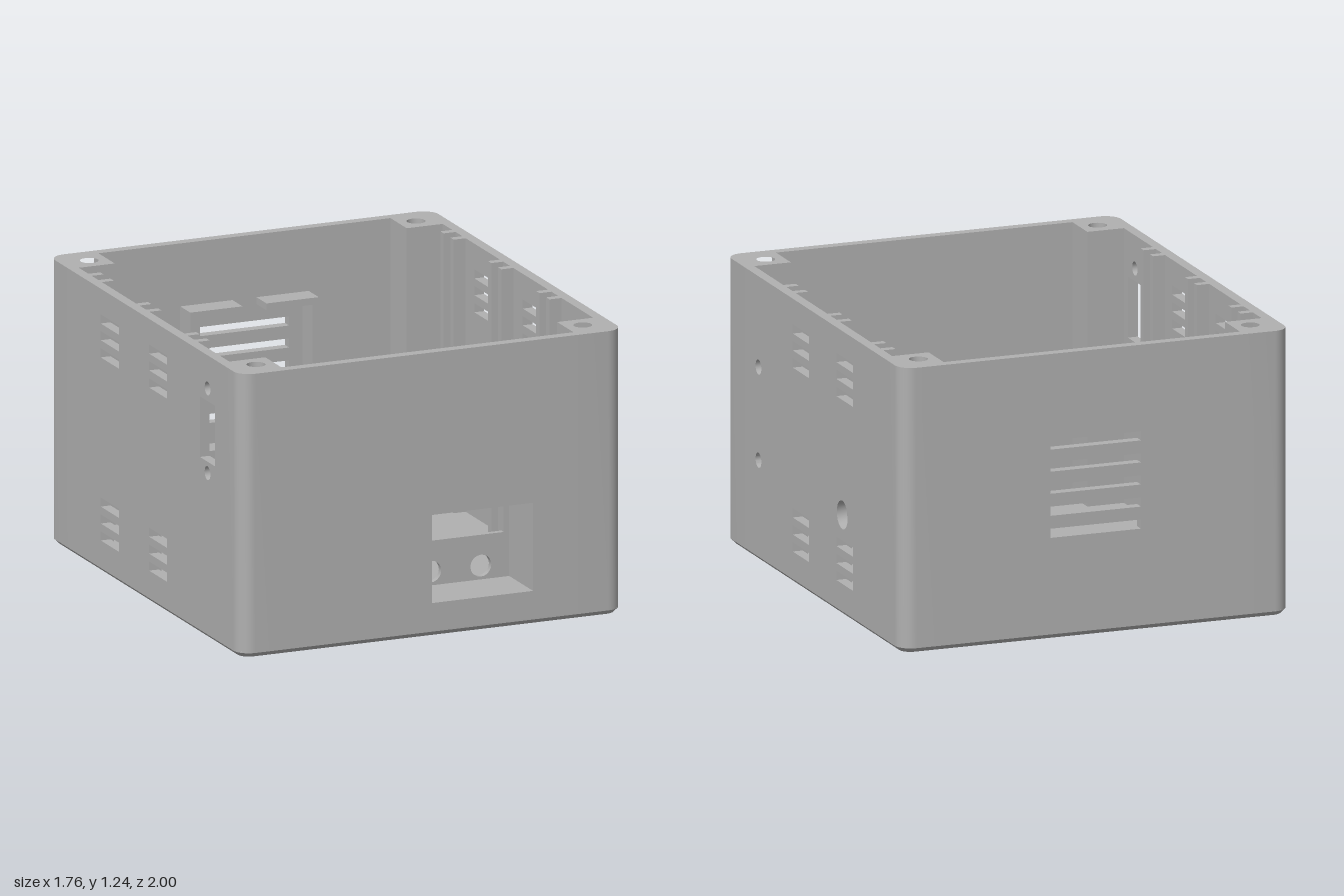
import * as THREE from 'three';
import { toCreasedNormals } from 'three/addons/utils/BufferGeometryUtils.js';

const W = 0.88, L = 1, H = 1.24;       // half width, half length, height
const T = 0.045, R = 0.07, CH = 0.02;  // wall thickness, corner radius, bottom chamfer
const PX = 0.67, PZ = 0.785;           // inner edges of the corner posts

const tracePath = (p, x0, y0, x1, y1) =>
  p.moveTo(x0, y0).lineTo(x1, y0).lineTo(x1, y1).lineTo(x0, y1).closePath();
const rect = (x0, y0, x1, y1) => tracePath(new THREE.Path(), x0, y0, x1, y1);
const circle = (x, y, r) => new THREE.Path().absarc(x, y, r, 0, Math.PI * 2, true);

function extrude(shape, depth, options = {}) {
  const g = new THREE.ExtrudeGeometry(shape, { depth, bevelEnabled: false, curveSegments: 10, ...options });
  return toCreasedNormals(g, 0.5);
}

// Flat panel with cut-outs, extruded along z
function panel(x0, y0, x1, y1, holes, depth) {
  const s = tracePath(new THREE.Shape(), x0, y0, x1, y1);
  s.holes.push(...holes);
  return extrude(s, depth);
}

export function createModel() {
  const group = new THREE.Group();
  const grey = new THREE.MeshStandardMaterial({ color: 0xb0b0b0 });
  grey.name = 'grey plastic';

  const add = (name, geometry, x = 0, y = 0, z = 0) => {
    const m = new THREE.Mesh(geometry, grey);
    m.name = name;
    m.position.set(x, y, z);
    group.add(m);
    return m;
  };
  const block = (name, x0, x1, y0, y1, z0, z1) =>
    add(name, new THREE.BoxGeometry(x1 - x0, y1 - y0, z1 - z0),
      (x0 + x1) / 2, (y0 + y1) / 2, (z0 + z1) / 2);

  // Floor with rounded corners and a chamfered lower edge
  const base = new THREE.Shape();
  base.moveTo(-W + R, -L).lineTo(W - R, -L);
  base.absarc(W - R, -L + R, R, -Math.PI / 2, 0);
  base.lineTo(W, L - R).absarc(W - R, L - R, R, 0, Math.PI / 2);
  base.lineTo(-W + R, L).absarc(-W + R, L - R, R, Math.PI / 2, Math.PI);
  base.lineTo(-W, -L + R).absarc(-W + R, -L + R, R, Math.PI, Math.PI * 1.5);
  const floor = extrude(base, T - 2 * CH, {
    bevelEnabled: true, bevelThickness: CH, bevelSize: CH, bevelOffset: -CH, bevelSegments: 1,
  });
  add('floor', floor.rotateX(-Math.PI / 2).translate(0, CH, 0));

  // Corner posts with screw holes
  for (const sx of [-1, 1]) for (const sz of [-1, 1]) {
    const s = new THREE.Shape();
    s.moveTo(sx * PX, sz * PZ).lineTo(sx * W, sz * PZ);
    for (let i = 0; i <= 10; i++) {
      const a = (i / 10) * Math.PI / 2;
      s.lineTo(sx * (W - R + R * Math.cos(a)), sz * (L - R + R * Math.sin(a)));
    }
    s.lineTo(sx * PX, sz * L).closePath();
    s.holes.push(circle(sx * 0.75, sz * 0.87, 0.04));
    add('cornerPost', extrude(s, H - CH).rotateX(-Math.PI / 2), 0, CH, 0);
  }

  // Front wall with the connector opening
  add('frontWall', panel(-PX, CH, PX, H, [rect(0, 0.145, 0.465, 0.53)], T), 0, 0, L - T);

  // Back wall with five ventilation slots
  const backSlots = [];
  for (let i = 0; i < 5; i++) {
    const y = 0.46 + i * 0.096;
    backSlots.push(rect(-0.205, y - 0.02, 0.205, y + 0.02));
  }
  add('backWall', panel(-PX, CH, PX, H, backSlots, T), 0, 0, -L);

  // Side walls: shared vents plus the cut-outs of each side
  const vents = () => {
    const list = [];
    for (const [z0, z1] of [[0.05, 0.235], [-0.455, -0.262]])
      for (const y of [0.16, 0.234, 0.308, 0.96, 1.035, 1.108])
        list.push(rect(z0, y - 0.02, z1, y + 0.02));
    return list;
  };
  const leftCuts = [circle(0.625, 0.845, 0.033), circle(0.625, 0.44, 0.033), circle(-0.33, 0.44, 0.062)];
  const rightCuts = [rect(0.58, 0.775, 0.74, 1.04), circle(0.66, 1.095, 0.03), circle(0.66, 0.725, 0.03)];
  const sideWall = (name, cuts, x) =>
    add(name, panel(-PZ, CH, PZ, H, [...vents(), ...cuts], T).rotateY(-Math.PI / 2), x);
  sideWall('leftWall', leftCuts, W);
  sideWall('rightWall', rightCuts, -W + T);

  // Pairs of upright ribs that form board slots
  for (const z of [-0.615, -0.118, 0.385])
    for (const dz of [-0.0525, 0.0525])
      for (const s of [-1, 1]) {
        const xs = [s * 0.78, s * (W - T)].sort((a, b) => a - b);
        block('slotRib', xs[0], xs[1], T, H, z + dz - 0.0175, z + dz + 0.0175);
      }

  // Recessed connector housing behind the front wall
  add('housingSleeve',
    panel(-0.03, 0.12, 0.49, 0.56, [rect(0, 0.145, 0.465, 0.53)], 0.205), 0, 0, 0.75);
  add('housingBack', panel(-0.03, 0.12, 0.49, 0.56, [
    rect(0.03, 0.34, 0.44, 0.525), circle(0.105, 0.205, 0.048), circle(0.335, 0.205, 0.048),
  ], 0.025), 0, 0, 0.725);

  // Open frame around the back vents
  const zb = -L + T, zf = -0.85;
  block('frameShelf', -0.295, 0.295, 0.325, 0.35, zb, zf);
  for (const s of [-1, 1]) {
    const span = (a, b) => (s > 0 ? [a, b] : [-b, -a]);
    block('frameRail', ...span(0.267, 0.295), 0.35, 0.935, zb, zf);
    block('frameTab', ...span(0.055, 0.295), 0.935, 0.965, zb, zf);
  }

  return group;
}
